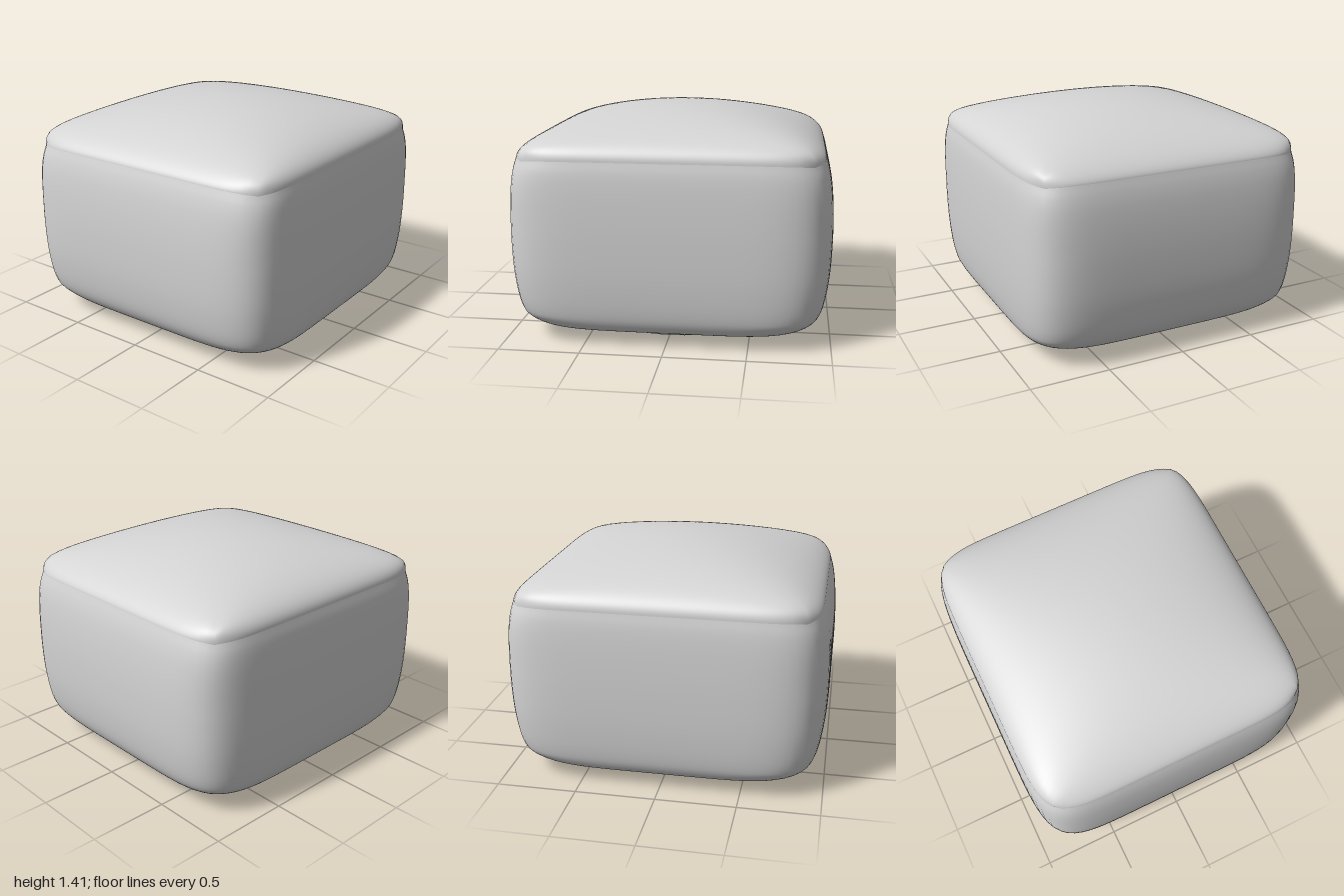
import * as THREE from 'three';

const AROUND = 160; // divisions around each ring, a multiple of 8
const SEAM = { x: 0.908, y: 1.143, z: 0.945, n: 7.8 };
const CROWN = 1.408;

// Point i on the square ring of half size s
function squarePoint(i, s) {
  const t = (i / AROUND) * 4, side = Math.floor(t + 0.5);
  const a = Math.tan((t - side) * Math.PI / 2);
  const [p, q] = [[1, a], [-a, 1], [-1, -a], [a, -1]][side % 4];
  return [p * s, q * s];
}

// Pull the corners of the unit square in to a superellipse of power n
const rounding = (u, v, n) => Math.pow(1 + Math.abs(u * v) ** n, -1 / n);

// The seam dips slightly towards the four corners
const cornerDip = (u, v) => 0.016 * Math.abs(u * v) ** 6;

// Skin a stack of closed rings, listed from the bottom up
function skin(rings, pointAt) {
  const pos = [], idx = [];
  rings.forEach((ring, j) => {
    for (let i = 0; i < AROUND; i++) {
      pos.push(...pointAt(ring, i));
      if (j === 0) continue;
      const k = (i + 1) % AROUND, lo = (j - 1) * AROUND, hi = j * AROUND;
      idx.push(lo + i, hi + i, lo + k, lo + k, hi + i, hi + k);
    }
  });
  const g = new THREE.BufferGeometry();
  g.setAttribute('position', new THREE.Float32BufferAttribute(pos, 3));
  g.setIndex(idx);
  g.computeVertexNormals();
  return g;
}

export function createModel() {
  const group = new THREE.Group();
  const fabric = new THREE.MeshStandardMaterial({ color: 0xd4d4d4 });
  fabric.name = 'light grey fabric';
  const add = (name, geometry) => {
    const mesh = new THREE.Mesh(geometry, fabric);
    mesh.name = name;
    group.add(mesh);
    return mesh;
  };

  // Sides and underside: half width, height, half depth of each level
  const levels = [
    [0, 0.066, 0], [0.4, 0.066, 0.4], [0.7, 0.067, 0.7], [0.8, 0.074, 0.81],
    [0.862, 0.1, 0.878], [0.896, 0.15, 0.925], [0.915, 0.22, 0.957],
    [0.934, 0.4, 0.988], [0.941, 0.65, 1.0], [0.938, 0.85, 0.995],
    [0.93, 1.0, 0.98], [0.921, 1.08, 0.964], [SEAM.x, SEAM.y, SEAM.z],
  ].map((p) => new THREE.Vector3(...p));
  const profile = new THREE.CatmullRomCurve3(levels).getPoints(84);
  add('cushionSides', skin(profile, (p, i) => {
    const [u, v] = squarePoint(i, 1);
    const n = 5 + 2 * THREE.MathUtils.smoothstep(p.y, 0.06, 0.18)
      + (SEAM.n - 7) * THREE.MathUtils.smoothstep(p.y, 0.7, SEAM.y);
    const r = rounding(u, v, n);
    const dip = cornerDip(u, v) * THREE.MathUtils.smoothstep(p.y, 0.9, SEAM.y);
    return [u * r * p.x, p.y - dip, v * r * p.z];
  }));

  // Domed top panel, from the seam to the crown
  const steps = Array.from({ length: 49 }, (_, j) => Math.sin((1 - j / 48) * Math.PI / 2));
  add('cushionTop', skin(steps, (s, i) => {
    const [u, v] = squarePoint(i, s);
    const r = rounding(u, v, SEAM.n);
    const a = Math.max(0, 1 - u * u) ** 0.48, b = Math.max(0, 1 - v * v) ** 0.63;
    const rise = a * b / Math.sqrt(a * a + b * b - a * a * b * b + 1e-9);
    const y = SEAM.y + (CROWN - SEAM.y) * rise - cornerDip(u, v);
    return [u * r * SEAM.x, y, v * r * SEAM.z];
  }));

  // Round foot with softened rims
  const foot = [[0, 0], [0.645, 0], [0.653, 0.003], [0.657, 0.01], [0.664, 0.035],
    [0.662, 0.05], [0.655, 0.06], [0.64, 0.066], [0.6, 0.075]];
  const base = add('roundBase',
    new THREE.LatheGeometry(foot.map(([x, y]) => new THREE.Vector2(x, y)), 96));
  base.position.set(-0.005, 0, -0.01);
  return group;
}
